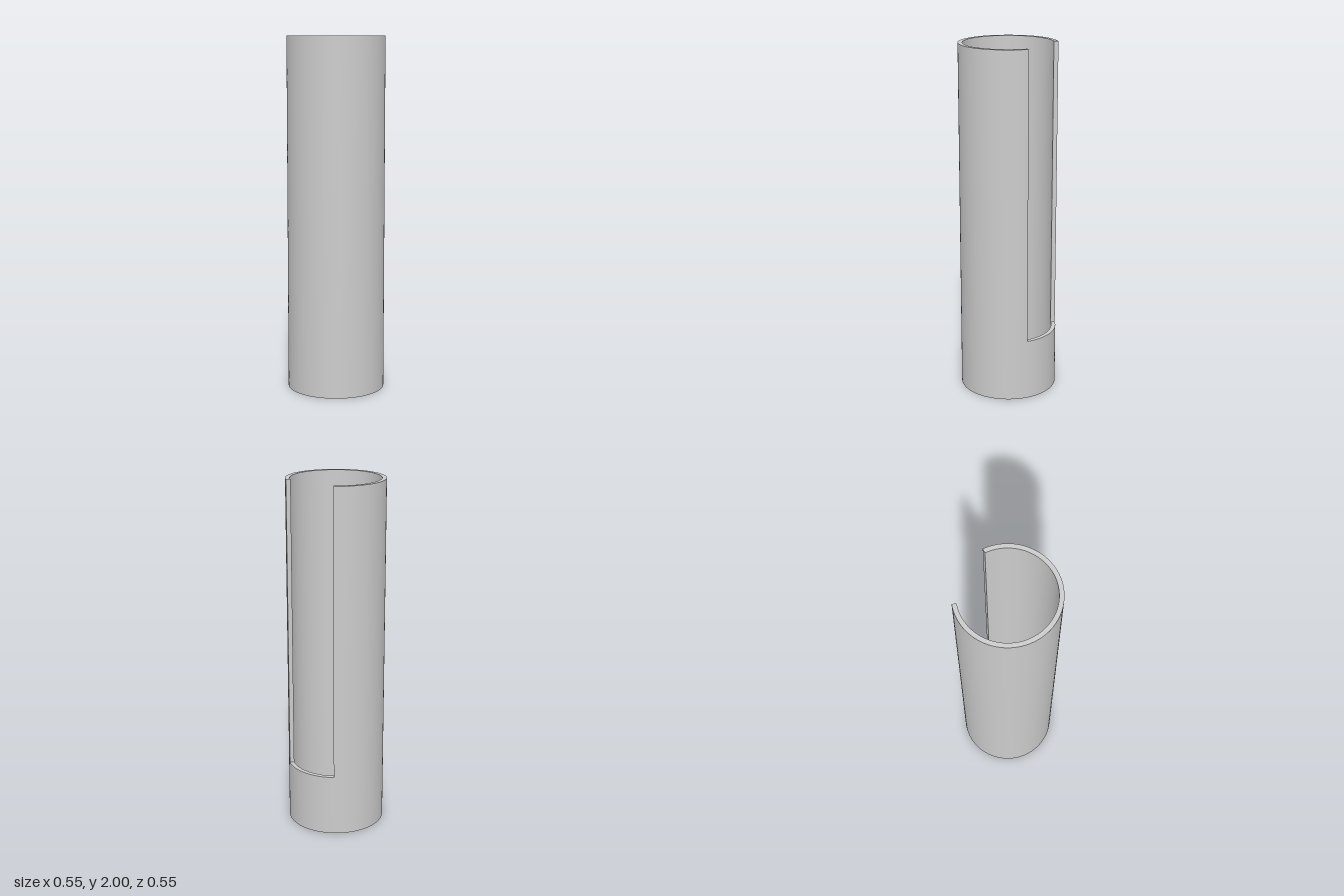
import * as THREE from 'three';
import { mergeGeometries } from 'three/addons/utils/BufferGeometryUtils.js';

const OUTER = 0.275, INNER = 0.25;
const HEIGHT = 2, SLOT_BOTTOM = 0.35;
const HALF_SLOT = Math.atan2(3, 4); // half the slot's opening angle
const EDGE = Math.PI - HALF_SLOT;   // angle of the slot edge, from +z

// Curved wall: each side of the rectangular section is swept on its own, keeping the rims sharp
function curvedWall(height, start, sweep, segments) {
  const section = [[OUTER, 0], [OUTER, height], [INNER, height], [INNER, 0]]
    .map(([r, y]) => new THREE.Vector2(r, y));
  return mergeGeometries(section.map((p, i) =>
    new THREE.LatheGeometry([p, section[(i + 1) % 4]], segments, start, sweep)));
}

// Flat radial wall along one side of the slot
function slotEdge(side) {
  const phi = side * EDGE, r = (OUTER + INNER) / 2;
  return new THREE.PlaneGeometry(OUTER - INNER, HEIGHT - SLOT_BOTTOM)
    .rotateY(phi + side * Math.PI / 2)
    .translate(r * Math.sin(phi), (HEIGHT + SLOT_BOTTOM) / 2, r * Math.cos(phi));
}

export function createModel() {
  const group = new THREE.Group();
  group.name = 'slottedTube';
  const material = new THREE.MeshStandardMaterial({ color: 0xcccccc });
  const add = (name, geometry) => {
    const mesh = new THREE.Mesh(geometry, material);
    mesh.name = name;
    group.add(mesh);
  };

  // Full-height wall around the front and sides
  add('tubeWall', curvedWall(HEIGHT, -EDGE, 2 * EDGE, 112));
  // Low wall closing the ring beneath the slot
  add('lowerBackWall', curvedWall(SLOT_BOTTOM, EDGE, 2 * HALF_SLOT, 28));
  // Both sides of the slot
  add('leftSlotEdge', slotEdge(1));
  add('rightSlotEdge', slotEdge(-1));

  return group;
}
